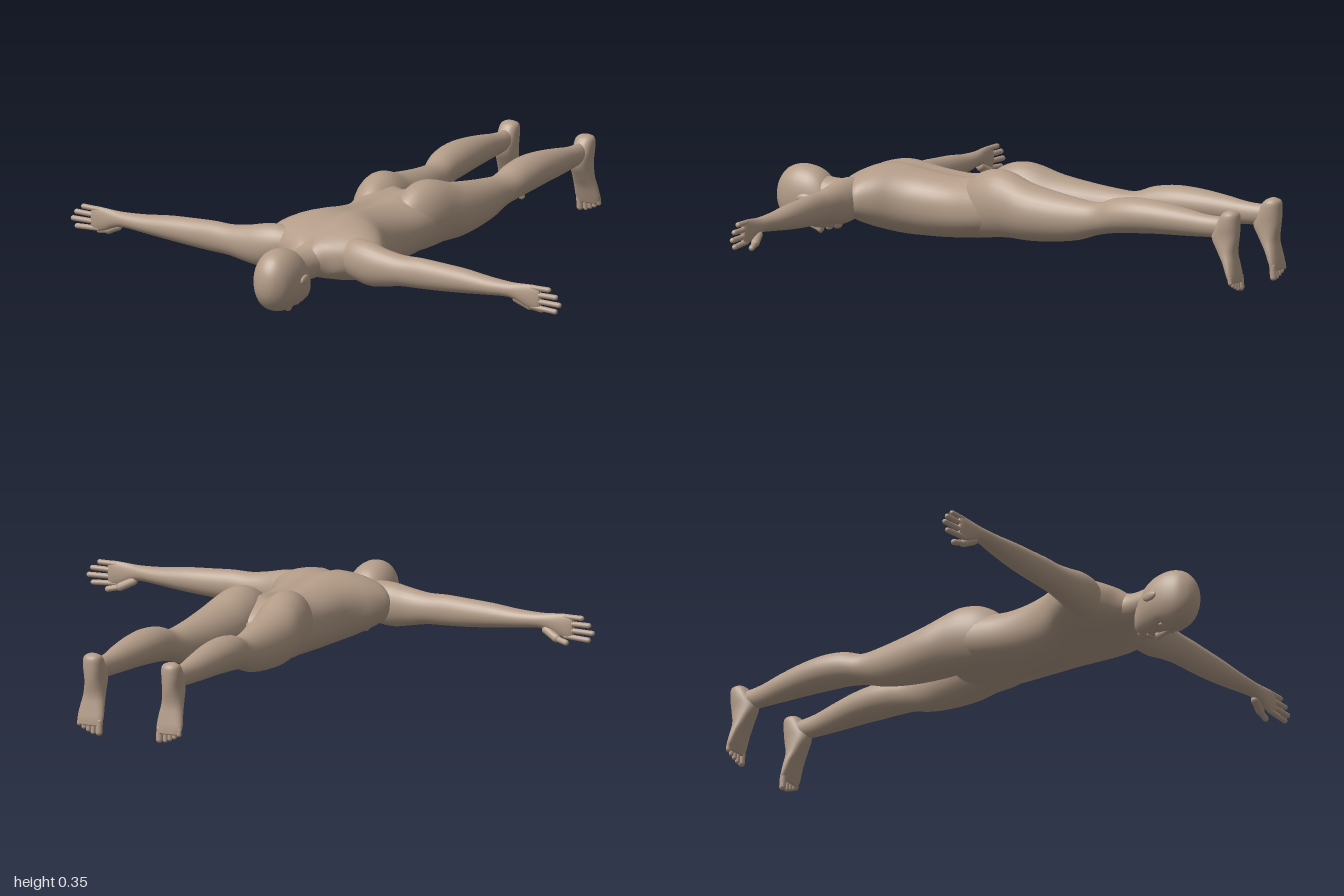
import * as THREE from 'three';

const skin = new THREE.MeshStandardMaterial({ color: 0xb39c88 });
skin.name = 'skin';

const catmull = (a, b, c, d, t) =>
  0.5 * (2 * b + (c - a) * t + (2 * a - 5 * b + 4 * c - d) * t * t + (3 * b - a - 3 * c + d) * t * t * t);

// Smooth closed loft. Each section is [t, aMin, aMax, bMin, bMax]; axes names the t, a, b directions.
function loft(name, axes, sections, { power = 2, sides = 28, steps = 4, warp } = {}) {
  const rows = [];
  const at = i => sections[Math.min(Math.max(i, 0), sections.length - 1)];
  for (let i = 0; i < sections.length - 1; i++) {
    for (let k = 0; k < steps; k++) {
      rows.push(at(i).map((v, j) => catmull(at(i - 1)[j], v, at(i + 1)[j], at(i + 2)[j], k / steps)));
    }
  }
  rows.push(at(sections.length - 1));
  const points = [], index = [];
  const put = (t, a, b) => {
    const p = new THREE.Vector3();
    p[axes[0]] = t; p[axes[1]] = a; p[axes[2]] = b;
    if (warp) warp(p);
    points.push(p);
  };
  const soft = v => Math.sign(v) * Math.abs(v) ** (2 / power);
  for (const [t, a0, a1, b0, b1] of rows) {
    for (let s = 0; s < sides; s++) {
      const w = (s / sides) * Math.PI * 2;
      put(t, (a0 + a1) / 2 + soft(Math.cos(w)) * (a1 - a0) / 2, (b0 + b1) / 2 + soft(Math.sin(w)) * (b1 - b0) / 2);
    }
  }
  const last = (rows.length - 1) * sides;
  for (let r = 0; r < rows.length - 1; r++) {
    for (let s = 0; s < sides; s++) {
      const a = r * sides + s, b = r * sides + (s + 1) % sides;
      index.push(a, b, b + sides, a, b + sides, a + sides);
    }
  }
  // End caps
  for (const [row, start] of [[rows[0], 0], [rows[rows.length - 1], last]]) {
    put(row[0], (row[1] + row[2]) / 2, (row[3] + row[4]) / 2);
    const c = points.length - 1;
    for (let s = 0; s < sides; s++) {
      const a = start + s, b = start + (s + 1) % sides;
      if (start) index.push(a, b, c); else index.push(b, a, c);
    }
  }
  // Turn the faces outward whatever the axis order
  let volume = 0;
  const n = new THREE.Vector3();
  for (let i = 0; i < index.length; i += 3) {
    volume += points[index[i]].dot(n.crossVectors(points[index[i + 1]], points[index[i + 2]]));
  }
  if (volume < 0) index.reverse();
  const geometry = new THREE.BufferGeometry().setFromPoints(points);
  geometry.setIndex(index);
  geometry.computeVertexNormals();
  return named(name, geometry);
}

function named(name, geometry) {
  const mesh = new THREE.Mesh(geometry, skin);
  mesh.name = name;
  return mesh;
}

function digit(name, from, to, r) {
  const a = new THREE.Vector3(...from), b = new THREE.Vector3(...to);
  const dir = b.clone().sub(a), length = dir.length();
  const mesh = named(name, new THREE.CapsuleGeometry(r, length - 2 * r, 5, 12));
  mesh.position.copy(a).add(b).multiplyScalar(0.5);
  mesh.quaternion.setFromUnitVectors(new THREE.Vector3(0, 1, 0), dir.normalize());
  return mesh;
}

function blob(name, position, scale) {
  const mesh = named(name, new THREE.SphereGeometry(1, 18, 12));
  mesh.position.set(...position);
  mesh.scale.set(...scale);
  return mesh;
}

const bump = (d, width) => Math.exp(-((d / width) ** 2));

// Mirrors section or point x values to the chosen side
const flipX = (sections, s, i) => sections.map(q => {
  if (s > 0) return q;
  const m = [...q];
  m[i] = -q[i + 1]; m[i + 1] = -q[i];
  return m;
});

function createLeg(s) {
  const side = s > 0 ? 'left' : 'right';
  const leg = new THREE.Group();
  leg.name = side + 'Leg';
  leg.add(loft(side + 'Limb', 'zxy', flipX([
    [0.18, 0.04, 0.11, 0.17, 0.26], [0.15, 0.02, 0.135, 0.14, 0.3], [0.1, 0.006, 0.163, 0.11, 0.333],
    [0.04, 0, 0.18, 0.108, 0.347], [-0.02, 0.006, 0.189, 0.112, 0.338], [-0.1, 0.02, 0.2, 0.11, 0.31],
    [-0.2, 0.04, 0.197, 0.115, 0.29], [-0.3, 0.065, 0.19, 0.13, 0.275], [-0.38, 0.083, 0.187, 0.155, 0.269],
    [-0.45, 0.086, 0.203, 0.168, 0.291], [-0.53, 0.085, 0.211, 0.175, 0.3], [-0.62, 0.092, 0.208, 0.18, 0.295],
    [-0.72, 0.107, 0.198, 0.182, 0.28], [-0.8, 0.119, 0.186, 0.184, 0.265], [-0.86, 0.123, 0.181, 0.187, 0.26],
    [-0.91, 0.128, 0.178, 0.195, 0.263],
  ], s, 1)));
  leg.add(loft(side + 'Foot', 'yxz', flipX([
    [0.284, 0.142, 0.168, -0.918, -0.898], [0.272, 0.122, 0.186, -0.938, -0.878],
    [0.235, 0.118, 0.19, -0.941, -0.855], [0.19, 0.118, 0.188, -0.938, -0.836],
    [0.14, 0.115, 0.193, -0.93, -0.862], [0.1, 0.109, 0.2, -0.934, -0.887],
    [0.06, 0.106, 0.205, -0.94, -0.905], [0.035, 0.11, 0.2, -0.941, -0.916],
  ], s, 1), { power: 2.3 }));
  // Toes, biggest on the inside
  [0, 0.003, 0.01, 0.018, 0.028].forEach((tip, i) => {
    const x = s * (i ? 0.124 + i * 0.018 : 0.119);
    leg.add(digit(side + 'Toe', [x, 0.062, -0.925], [x, tip, -0.93], i ? 0.0085 : 0.012));
  });
  return leg;
}

function createArm(s) {
  const side = s > 0 ? 'left' : 'right';
  const arm = new THREE.Group();
  arm.name = side + 'Arm';
  arm.add(loft(side + 'ArmAndPalm', 'xyz', [
    [0.1, 0.16, 0.275, 0.52, 0.62], [0.16, 0.14, 0.287, 0.52, 0.64], [0.22, 0.13, 0.283, 0.53, 0.647],
    [0.28, 0.138, 0.27, 0.543, 0.645], [0.35, 0.15, 0.26, 0.548, 0.64], [0.42, 0.153, 0.261, 0.55, 0.636],
    [0.5, 0.157, 0.257, 0.549, 0.634], [0.6, 0.165, 0.251, 0.551, 0.632], [0.7, 0.175, 0.24, 0.56, 0.629],
    [0.78, 0.182, 0.236, 0.572, 0.624], [0.82, 0.176, 0.237, 0.58, 0.62], [0.86, 0.16, 0.24, 0.585, 0.617],
    [0.9, 0.152, 0.241, 0.588, 0.613], [0.915, 0.16, 0.233, 0.593, 0.608],
  ].map(q => [q[0] * s, ...q.slice(1)])));
  // Fingers from little to index, then the thumb
  [[0.231, 0.232, 0.958], [0.208, 0.209, 0.986], [0.185, 0.183, 1], [0.163, 0.157, 0.984]].forEach(([y0, y1, tip]) => {
    arm.add(digit(side + 'Finger', [s * 0.875, y0, 0.601], [s * tip, y1, 0.599], 0.0095));
  });
  arm.add(digit(side + 'ThumbBase', [s * 0.8, 0.185, 0.595], [s * 0.872, 0.15, 0.577], 0.015));
  arm.add(digit(side + 'Thumb', [s * 0.84, 0.16, 0.583], [s * 0.912, 0.144, 0.569], 0.0105));
  return arm;
}

function createHead() {
  const head = new THREE.Group();
  head.name = 'head';
  // Skull with eye sockets pressed into the downward face
  head.add(loft('skull', 'zxy', [
    [0.944, -0.012, 0.012, 0.165, 0.195], [0.934, -0.038, 0.038, 0.128, 0.235], [0.905, -0.064, 0.064, 0.09, 0.273],
    [0.86, -0.077, 0.077, 0.072, 0.29], [0.81, -0.079, 0.079, 0.071, 0.286], [0.77, -0.073, 0.073, 0.072, 0.268],
    [0.74, -0.063, 0.063, 0.074, 0.235], [0.715, -0.049, 0.049, 0.08, 0.19], [0.7, -0.03, 0.03, 0.095, 0.155],
  ], {
    sides: 40, power: 2.15,
    warp: p => {
      if (p.y < 0.15) p.y += 0.013 * bump(Math.abs(p.x) - 0.03, 0.016) * bump(p.z - 0.818, 0.014);
    },
  }));
  head.add(loft('neck', 'zxy', [
    [0.58, -0.085, 0.085, 0.14, 0.29], [0.64, -0.072, 0.072, 0.138, 0.268], [0.68, -0.062, 0.062, 0.138, 0.252],
    [0.73, -0.061, 0.061, 0.14, 0.25], [0.79, -0.058, 0.058, 0.15, 0.26],
  ]));
  head.add(loft('nose', 'zxy', [
    [0.825, -0.006, 0.006, 0.07, 0.09], [0.8, -0.009, 0.009, 0.06, 0.09],
    [0.782, -0.015, 0.015, 0.051, 0.09], [0.773, -0.011, 0.011, 0.061, 0.09],
  ], { sides: 14 }));
  head.add(blob('lips', [0, 0.074, 0.748], [0.022, 0.008, 0.009]));
  head.add(blob('chin', [0, 0.092, 0.716], [0.026, 0.02, 0.016]));
  for (const s of [1, -1]) {
    head.add(blob('eye', [s * 0.03, 0.088, 0.817], [0.012, 0.009, 0.009]));
    const ear = blob('ear', [s * 0.081, 0.182, 0.802], [0.009, 0.017, 0.031]);
    ear.rotation.y = s * 0.15;
    head.add(ear);
  }
  return head;
}

export function createModel() {
  const figure = new THREE.Group();
  figure.name = 'proneFigure';
  // Torso with a spine groove on top and a breastbone groove below
  figure.add(loft('torso', 'zxy', [
    [0.68, -0.055, 0.055, 0.16, 0.245], [0.655, -0.085, 0.085, 0.145, 0.265], [0.63, -0.135, 0.135, 0.138, 0.28],
    [0.59, -0.195, 0.195, 0.125, 0.3], [0.54, -0.23, 0.23, 0.11, 0.32], [0.48, -0.21, 0.21, 0.094, 0.332],
    [0.42, -0.175, 0.175, 0.083, 0.33], [0.36, -0.155, 0.155, 0.08, 0.32], [0.28, -0.148, 0.148, 0.08, 0.308],
    [0.2, -0.152, 0.152, 0.084, 0.303], [0.12, -0.163, 0.163, 0.09, 0.312], [0.05, -0.17, 0.17, 0.1, 0.315],
    [-0.02, -0.15, 0.15, 0.115, 0.28], [-0.06, -0.08, 0.08, 0.13, 0.24],
  ], {
    sides: 48, power: 2.25,
    warp: p => {
      if (p.y > 0.24) p.y -= 0.012 * bump(p.x, 0.022);
      else if (p.y < 0.16) p.y += 0.01 * bump(p.x, 0.025) * bump(p.z - 0.45, 0.1);
    },
  }));
  figure.add(createHead());
  for (const s of [1, -1]) figure.add(createArm(s), createLeg(s));
  return figure;
}
